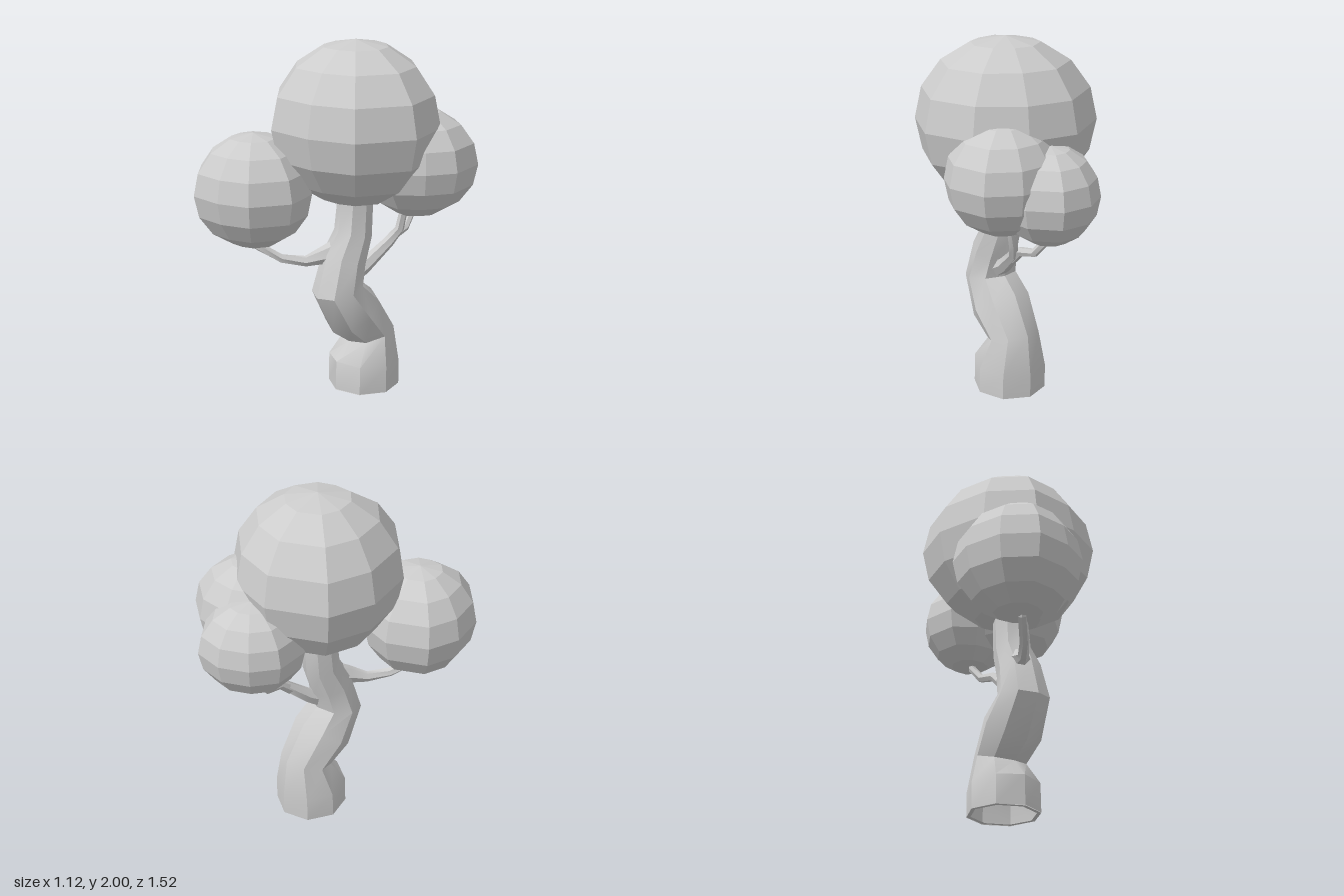
import * as THREE from 'three';
import { toCreasedNormals } from 'three/addons/utils/BufferGeometryUtils.js';

const leafMat = new THREE.MeshStandardMaterial({ color: 0xcccccc, flatShading: true });
const barkMat = new THREE.MeshStandardMaterial({ color: 0xcccccc, side: THREE.DoubleSide });

// Skins a path of [x, y, z, radius] stations with n-sided rings set square to the path.
function limb(name, stations, sides) {
  const points = stations.map(([x, y, z]) => new THREE.Vector3(x, y, z));
  const positions = [];
  const index = [];
  points.forEach((p, i) => {
    const before = points[Math.max(i - 1, 0)];
    const after = points[Math.min(i + 1, points.length - 1)];
    const t = after.clone().sub(before).normalize();
    const u = new THREE.Vector3(1, 0, 0);
    u.addScaledVector(t, -u.dot(t)).normalize();
    const v = t.clone().cross(u);
    for (let j = 0; j < sides; j++) {
      const a = (j / sides) * Math.PI * 2;
      const r = stations[i][3];
      const q = p.clone().addScaledVector(u, Math.cos(a) * r).addScaledVector(v, Math.sin(a) * r);
      positions.push(q.x, q.y, q.z);
      if (i === 0) continue;
      const k = (j + 1) % sides;
      const lo = (i - 1) * sides;
      const hi = i * sides;
      index.push(lo + j, lo + k, hi + k, lo + j, hi + k, hi + j);
    }
  });
  const geo = new THREE.BufferGeometry();
  geo.setAttribute('position', new THREE.Float32BufferAttribute(positions, 3));
  geo.setIndex(index);
  const mesh = new THREE.Mesh(toCreasedNormals(geo, 0.62), barkMat);
  mesh.name = name;
  return mesh;
}

// Uneven ten-sided outline shared by every leaf ball: angle in degrees, radius.
const outline = [
  [0, 0.505], [39, 0.49], [71, 0.46], [105, 0.488], [141, 0.46],
  [180, 0.46], [213, 0.49], [254, 0.478], [289, 0.455], [325, 0.474],
];

function leafGeometry() {
  const geo = new THREE.SphereGeometry(0.455, 10, 8);
  const pos = geo.attributes.position;
  for (let i = 0; i < pos.count; i++) {
    const [deg, radius] = outline[(15 - (i % 11)) % 10];
    const a = THREE.MathUtils.degToRad(deg);
    const r = radius * Math.sin((Math.floor(i / 11) / 8) * Math.PI);
    pos.setX(i, Math.cos(a) * r);
    pos.setZ(i, Math.sin(a) * r);
  }
  geo.computeVertexNormals();
  return geo;
}

export function createModel() {
  const tree = new THREE.Group();
  tree.name = 'tree';

  // Winding trunk, flared and hollow at the foot
  tree.add(limb('trunk', [
    [0.05, 0, -0.115, 0.203],
    [0.05, 0.15, -0.118, 0.202],
    [0.05, 0.315, -0.15, 0.147],
    [0.05, 0.46, -0.03, 0.17],
    [0.05, 0.615, 0.075, 0.145],
    [0.05, 0.78, 0.03, 0.125],
    [0.05, 0.92, -0.035, 0.107],
    [0.05, 1.1, -0.05, 0.1],
    [0.05, 1.3, -0.055, 0.09],
  ], 8));
  const rim = new THREE.Mesh(new THREE.RingGeometry(0.18, 0.203, 8), barkMat);
  rim.name = 'trunkRim';
  rim.rotation.x = Math.PI / 2;
  rim.position.set(0.05, 0, -0.115);
  tree.add(rim);

  // Branches to the smaller leaf balls
  tree.add(limb('frontBranch', [
    [0.04, 0.84, 0.03, 0.07],
    [0.0, 0.81, 0.13, 0.05],
    [-0.05, 0.78, 0.22, 0.03],
    [-0.12, 0.8, 0.33, 0.026],
    [-0.21, 0.88, 0.44, 0.025],
    [-0.23, 0.96, 0.46, 0.02],
  ], 6));
  tree.add(limb('leftBranch', [
    [0.06, 0.66, 0.02, 0.06],
    [0.08, 0.73, -0.11, 0.042],
    [0.11, 0.84, -0.245, 0.032],
    [0.15, 0.92, -0.29, 0.026],
    [0.19, 1.1, -0.3, 0.022],
  ], 6));
  tree.add(limb('backBranch', [
    [0.1, 0.81, -0.22, 0.03],
    [0.1, 0.87, -0.29, 0.027],
    [0.08, 0.89, -0.39, 0.024],
    [0.06, 0.97, -0.46, 0.022],
    [0.06, 1.06, -0.48, 0.02],
  ], 6));

  // Leaf balls: name, centre, scale, turn in degrees
  const leaf = leafGeometry();
  for (const [name, x, y, z, scale, turn] of [
    ['crown', 0.04, 1.545, -0.06, 1, 0],
    ['frontLeaves', -0.23, 1.19, 0.43, 0.7, 0],
    ['leftLeaves', 0.24, 1.325, -0.33, 0.67, 39],
    ['backLeaves', 0.06, 1.24, -0.49, 0.585, 68],
  ]) {
    const ball = new THREE.Mesh(leaf, leafMat);
    ball.name = name;
    ball.position.set(x, y, z);
    ball.scale.setScalar(scale);
    ball.rotation.y = THREE.MathUtils.degToRad(turn);
    tree.add(ball);
  }
  return tree;
}
